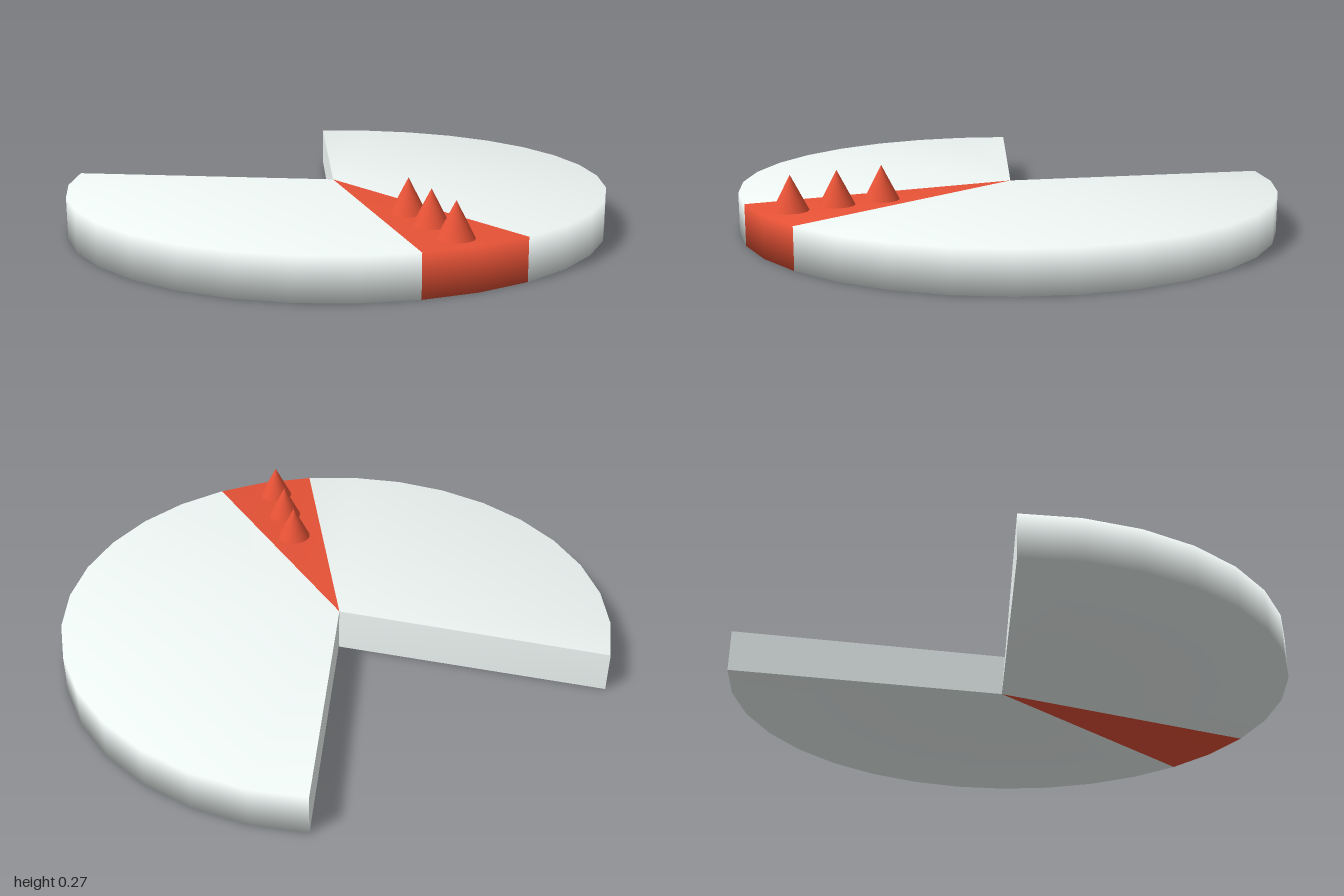
import * as THREE from 'three';

const SIDES = 32, HEIGHT = 0.15, CENTRE_Z = -0.085;
// Where the cuts meet, at the bottom and at the top
const TIPS = [0.01, 0, -0.115, 0, HEIGHT, -0.105];

function rimPoint(step, y) {
  const a = (step / SIDES) * Math.PI * 2;
  return [Math.sin(a), y, Math.cos(a) + CENTRE_Z];
}

function makeMesh(name, pos, index, material) {
  const geo = new THREE.BufferGeometry();
  geo.setAttribute('position', new THREE.Float32BufferAttribute(pos, 3));
  geo.setIndex(index);
  geo.computeVertexNormals();
  const mesh = new THREE.Mesh(geo, material);
  mesh.name = name;
  return mesh;
}

// Slice of the disc between two rim steps, counted from the front towards +x.
// Top, rim and bottom share vertices, so the shading is soft over the rim.
function slice(name, from, to, material) {
  const pos = [...TIPS], index = [];
  for (let i = from; i <= to; i++) pos.push(...rimPoint(i, 0), ...rimPoint(i, HEIGHT));
  for (let k = 0; k < to - from; k++) {
    const b = 2 + 2 * k, t = b + 1, b2 = b + 2, t2 = b + 3;
    index.push(1, t, t2, 0, b2, b); // top and bottom
    index.push(b, b2, t2, b, t2, t); // rim
  }
  return makeMesh(name, pos, index, material);
}

// Upright cut face of the notch, with its own crisp shading
function notchWall(name, step, facesForward, material) {
  const pos = [...TIPS, ...rimPoint(step, 0), ...rimPoint(step, HEIGHT)];
  const index = facesForward ? [0, 1, 3, 0, 3, 2] : [0, 3, 1, 0, 2, 3];
  return makeMesh(name, pos, index, material);
}

export function createModel() {
  const group = new THREE.Group();
  group.name = 'notchedDisc';
  const pale = new THREE.MeshStandardMaterial({ color: 0xeff7f5 });
  const red = new THREE.MeshStandardMaterial({ color: 0xe65236 });

  // Disc: two plain slices, one coloured slice, and an open notch at the back
  group.add(
    slice('leftSlice', -1, 12, pale),
    slice('rightSlice', -13, -3, pale),
    slice('redSlice', -3, -1, red),
    notchWall('leftNotchWall', 12, true, pale),
    notchWall('rightNotchWall', -13, false, pale)
  );

  // Row of spikes along the coloured slice
  const spikeHeight = 0.123;
  const spikeGeo = new THREE.ConeGeometry(0.063, spikeHeight, 32);
  for (let i = 0; i < 3; i++) {
    const spike = new THREE.Mesh(spikeGeo, red);
    spike.name = `spike${i + 1}`;
    spike.position.set(-0.207 - 0.075 * i, HEIGHT + spikeHeight / 2, 0.419 + 0.154 * i);
    group.add(spike);
  }
  return group;
}
